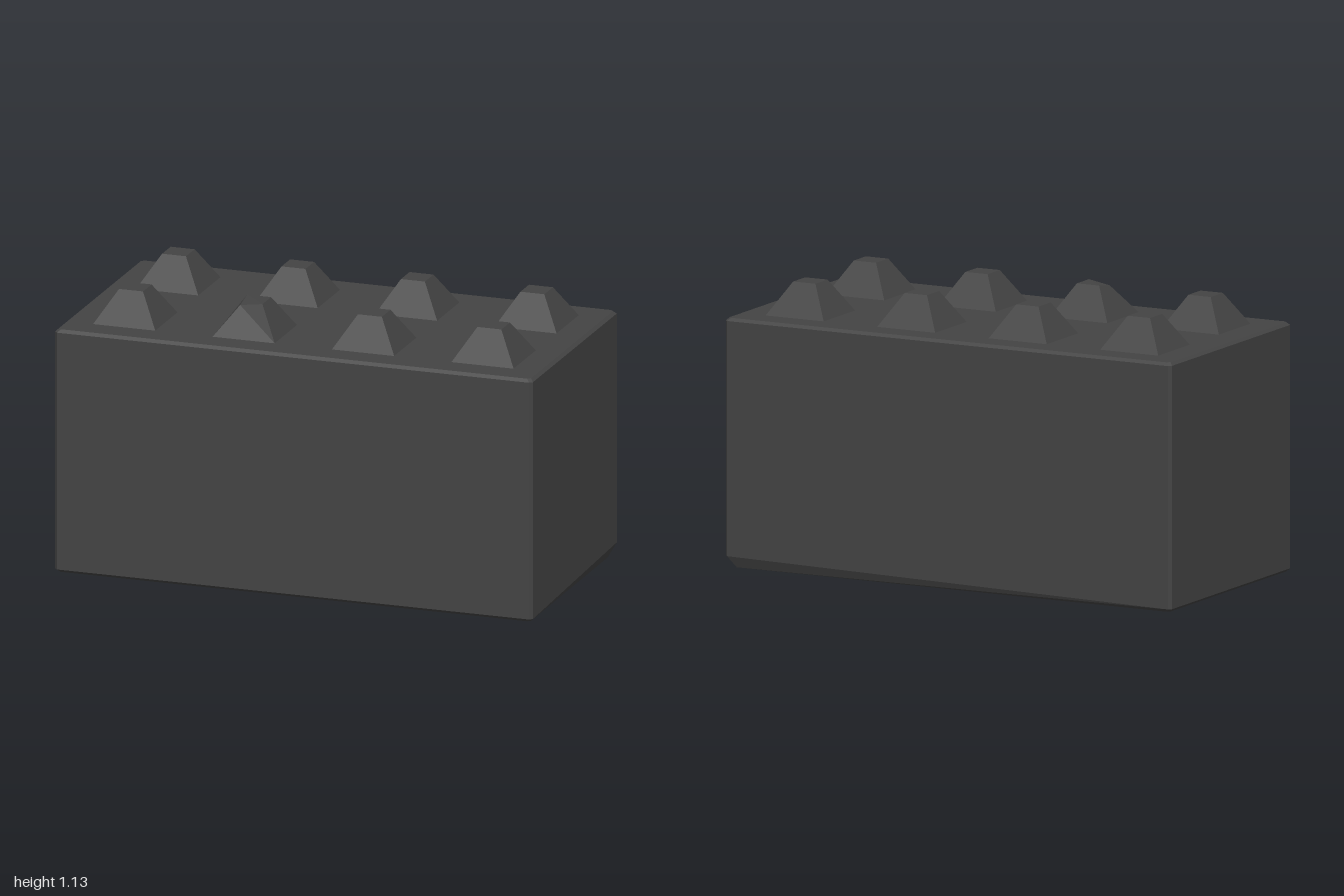
import * as THREE from 'three';

const CHAMFER = 0.012;
const STUD_X = [-0.75, -0.25, 0.25, 0.75];
const STUD_Z = [-0.25, 0.25];

// Octagonal outline of the block: a rectangle with chamfered corners
function outline(inset, y) {
  const x = 1 - inset, z = 0.5 - inset, c = CHAMFER;
  return [
    [x, z - c], [x, -z + c], [x - c, -z], [-x + c, -z],
    [-x, -z + c], [-x, z - c], [-x + c, z], [x - c, z],
  ].map(([px, pz]) => new THREE.Vector3(px, y, pz));
}

// Side walls joining successive outlines
function wallGeometry(rings) {
  const pos = [], index = [], n = rings[0].length;
  rings.forEach((ring) => ring.forEach((p) => pos.push(p.x, p.y, p.z)));
  for (let r = 0; r < rings.length - 1; r++) {
    for (let i = 0; i < n; i++) {
      const j = (i + 1) % n;
      const a = r * n + i, b = r * n + j;
      index.push(a, b, b + n, a, b + n, a + n);
    }
  }
  const g = new THREE.BufferGeometry();
  g.setAttribute('position', new THREE.Float32BufferAttribute(pos, 3));
  g.setIndex(index);
  g.computeVertexNormals();
  return g;
}

// Square frustum with a closed narrow end; inward = true turns it into a recess
function frustum(base, top, height, inward = false) {
  const k = Math.SQRT2 / 2;
  const profile = [
    new THREE.Vector2(base * k, 0),
    new THREE.Vector2(top * k, height),
    new THREE.Vector2(0, height),
  ];
  if (inward) profile.reverse();
  return new THREE.LatheGeometry(profile, 4, Math.PI / 4);
}

export function createModel() {
  const model = new THREE.Group();
  model.name = 'stackingBlock';
  const material = new THREE.MeshStandardMaterial({ color: 0x444444, flatShading: true });

  const add = (geometry, name, x = 0, y = 0, z = 0) => {
    const mesh = new THREE.Mesh(geometry, material);
    mesh.name = name;
    mesh.position.set(x, y, z);
    model.add(mesh);
    return mesh;
  };

  // Block walls with fine chamfers and one chipped lower corner
  const rings = [
    outline(CHAMFER, 0), outline(0, CHAMFER),
    outline(0, 1 - CHAMFER), outline(CHAMFER, 1),
  ];
  rings[0][1].set(0.985, 0, -0.42);
  rings[0][2].set(0.955, 0, -0.48);
  rings[1][1].y = rings[1][2].y = 0.045;
  add(wallGeometry(rings), 'blockWalls');

  // Top face
  const topShape = new THREE.Shape(rings[3].map((p) => new THREE.Vector2(p.x, -p.z)));
  add(new THREE.ShapeGeometry(topShape).rotateX(-Math.PI / 2), 'blockTop', 0, 1, 0);

  // Underside, pierced where the sockets open
  const baseShape = new THREE.Shape(rings[0].map((p) => new THREE.Vector2(p.x, p.z)));
  const h = 0.13;
  for (const x of STUD_X) {
    for (const z of STUD_Z) {
      baseShape.holes.push(new THREE.Path([
        new THREE.Vector2(x - h, z - h), new THREE.Vector2(x + h, z - h),
        new THREE.Vector2(x + h, z + h), new THREE.Vector2(x - h, z + h),
      ]));
    }
  }
  add(new THREE.ShapeGeometry(baseShape).rotateX(Math.PI / 2), 'blockUnderside');

  // Studs on top and matching sockets beneath
  const studGeometry = frustum(0.26, 0.1, 0.13);
  const socketGeometry = frustum(0.26, 0.1, 0.15, true);

  // One stud has a worn upper corner
  const wornGeometry = studGeometry.clone();
  const p = wornGeometry.attributes.position;
  for (let i = 0; i < p.count; i++) {
    if (p.getY(i) > 0.1 && p.getX(i) < -0.01 && p.getZ(i) > 0.01) {
      p.setXYZ(i, -0.045, 0.115, 0.045);
    }
  }

  for (const x of STUD_X) {
    for (const z of STUD_Z) {
      const worn = x === -0.25 && z > 0;
      add(worn ? wornGeometry : studGeometry, 'stud', x, 1, z);
      add(socketGeometry, 'socket', x, 0, z);
    }
  }
  return model;
}
